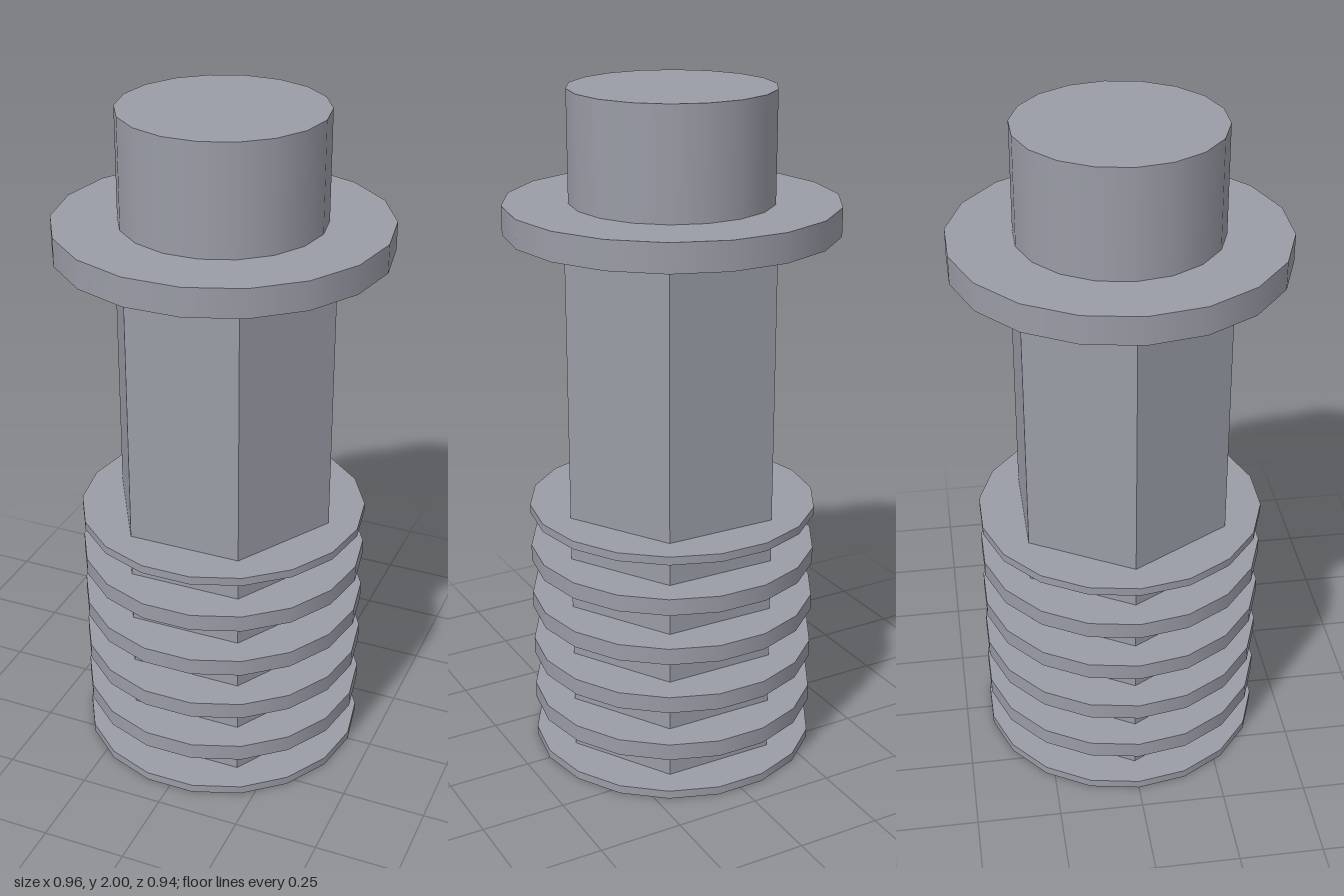
import * as THREE from 'three';

export function createModel() {
  const model = new THREE.Group();
  const steel = new THREE.MeshStandardMaterial({ color: 0x9a9ca6 });
  steel.name = 'steel grey';
  const flatSteel = steel.clone();
  flatSteel.flatShading = true;

  // Upright prism between two heights, with one corner on the x axis
  function prism(name, radius, bottom, top, sides, material = steel) {
    const geometry = new THREE.CylinderGeometry(radius, radius, top - bottom, sides);
    geometry.rotateY(Math.PI / 2);
    const mesh = new THREE.Mesh(geometry, material);
    mesh.name = name;
    mesh.position.y = (bottom + top) / 2;
    model.add(mesh);
  }

  // Hexagonal shaft, collar and round head
  prism('shaft', 0.337, 0.01, 1.61, 6, flatSteel);
  prism('collar', 0.479, 1.6, 1.683, 18);
  prism('head', 0.293, 1.68, 2, 18);

  // Ribs round the lower shaft; the first and last are half as thick
  const ribs = 6, thickness = 0.05, pitch = 0.156;
  for (let i = 0; i < ribs; i++) {
    const centre = i * pitch;
    const bottom = i === 0 ? 0 : centre - thickness / 2;
    const top = i === ribs - 1 ? centre : centre + thickness / 2;
    prism('rib' + (i + 1), 0.426, bottom, top, 18);
  }
  return model;
}
